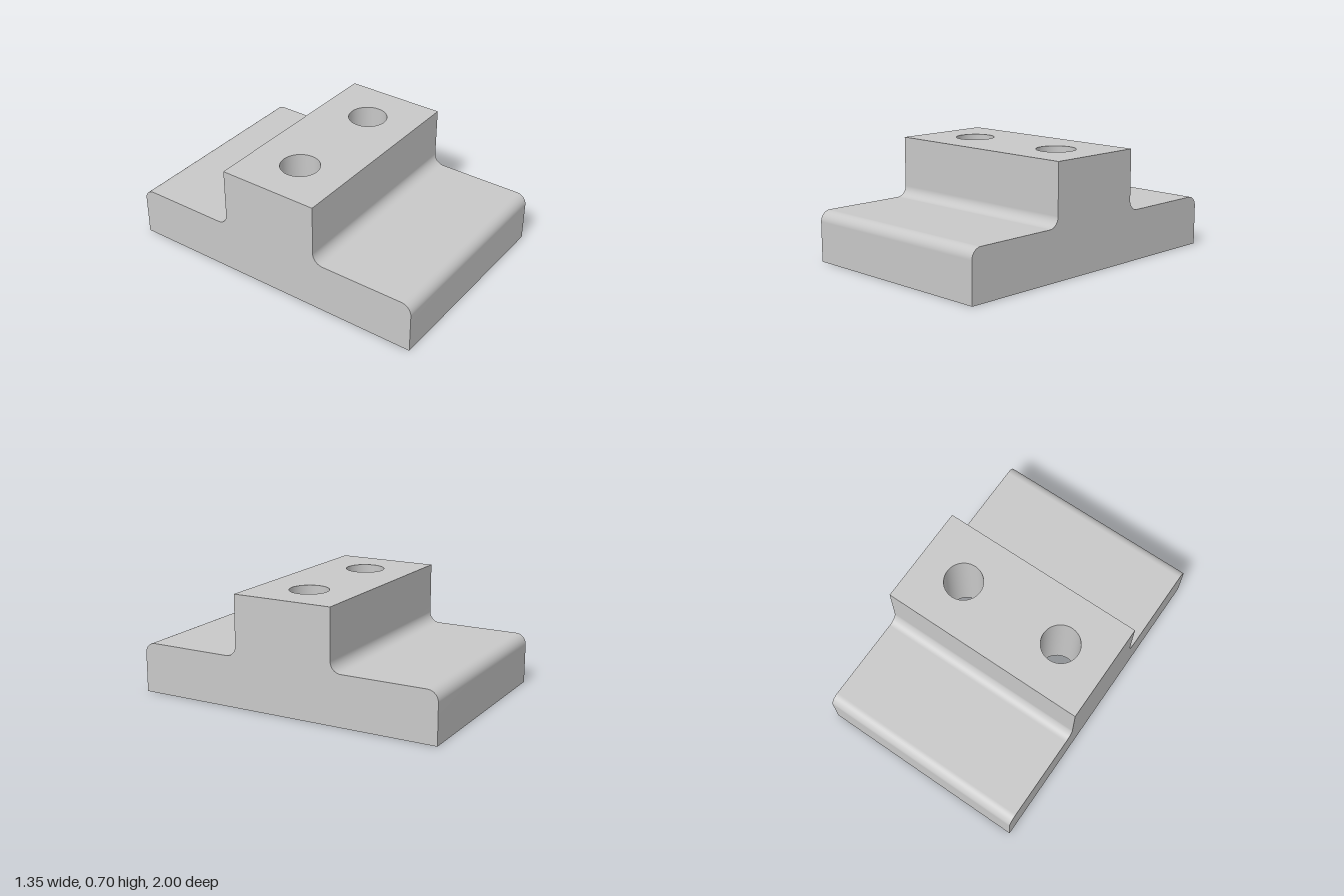
import * as THREE from 'three';

const W = 0.673, D = 1, BASE = 0.32, TOP = 0.705, STEM = 0.325, R = 0.067;
const HOLE_X = 0.355, HOLE_R = 0.122, SINK_R = 0.213;
const SEGMENTS = 64;

// Points of a quarter-round, from angle a to angle b (degrees)
function arc(cx, cy, a, b, n = 10) {
  return Array.from({ length: n + 1 }, (_, i) => {
    const t = THREE.MathUtils.degToRad(a + (b - a) * i / n);
    return new THREE.Vector2(cx + R * Math.cos(t), cy + R * Math.sin(t));
  });
}

// Rectangular face pierced by the two bolt holes
function piercedFace(halfDepth, radius) {
  const shape = new THREE.Shape([
    new THREE.Vector2(-W, -halfDepth), new THREE.Vector2(W, -halfDepth),
    new THREE.Vector2(W, halfDepth), new THREE.Vector2(-W, halfDepth),
  ]);
  for (const x of [-HOLE_X, HOLE_X]) {
    shape.holes.push(new THREE.Path().absarc(x, 0, radius, 0, Math.PI * 2, true));
  }
  return new THREE.ShapeGeometry(shape, SEGMENTS / 2);
}

export function createModel() {
  const group = new THREE.Group();
  const grey = new THREE.MeshStandardMaterial({ color: 0xc8c8c8 });
  grey.name = 'grey';
  const add = (name, geometry) => {
    const mesh = new THREE.Mesh(geometry, grey);
    mesh.name = name;
    group.add(mesh);
    return mesh;
  };

  // Half of the stepped profile (z, y), from the top edge down to the foot
  const half = [
    new THREE.Vector2(STEM, TOP),
    ...arc(STEM + R, BASE + R, 180, 270),
    ...arc(D - R, BASE - R, 90, 0),
    new THREE.Vector2(D, 0),
  ];

  // Front and back stepped walls, swept across the width
  for (const [name, turn] of [['frontStep', 0], ['backStep', Math.PI]]) {
    const wall = new THREE.PlaneGeometry(2 * W, 1, 1, half.length - 1);
    const pos = wall.attributes.position;
    for (let i = 0; i < pos.count; i++) {
      const p = half[Math.floor(i / 2)];
      pos.setXYZ(i, pos.getX(i), p.y, p.x);
    }
    wall.computeVertexNormals();
    add(name, wall.rotateY(turn));
  }

  // Flat ends with the full T profile
  const mirrored = half.map(p => new THREE.Vector2(-p.x, p.y)).reverse();
  const profile = new THREE.Shape([...half, ...mirrored]);
  for (const [name, side] of [['leftEnd', 1], ['rightEnd', -1]]) {
    add(name, new THREE.ShapeGeometry(profile).rotateY(side * Math.PI / 2).translate(side * W, 0, 0));
  }

  // Top and underside
  add('topFace', piercedFace(STEM, HOLE_R).rotateX(-Math.PI / 2).translate(0, TOP, 0));
  add('underside', piercedFace(D, SINK_R).rotateX(Math.PI / 2));

  // Inner walls of the countersunk holes, top to bottom
  const bore = [[HOLE_R, TOP], [HOLE_R, 0.141], [SINK_R, 0.05], [SINK_R, 0]]
    .map(([r, y]) => new THREE.Vector2(r, y));
  for (const x of [-HOLE_X, HOLE_X]) {
    ['holeBore', 'countersink', 'holeRim'].forEach((name, i) => {
      add(name, new THREE.LatheGeometry(bore.slice(i, i + 2), SEGMENTS)).position.x = x;
    });
  }
  return group;
}
